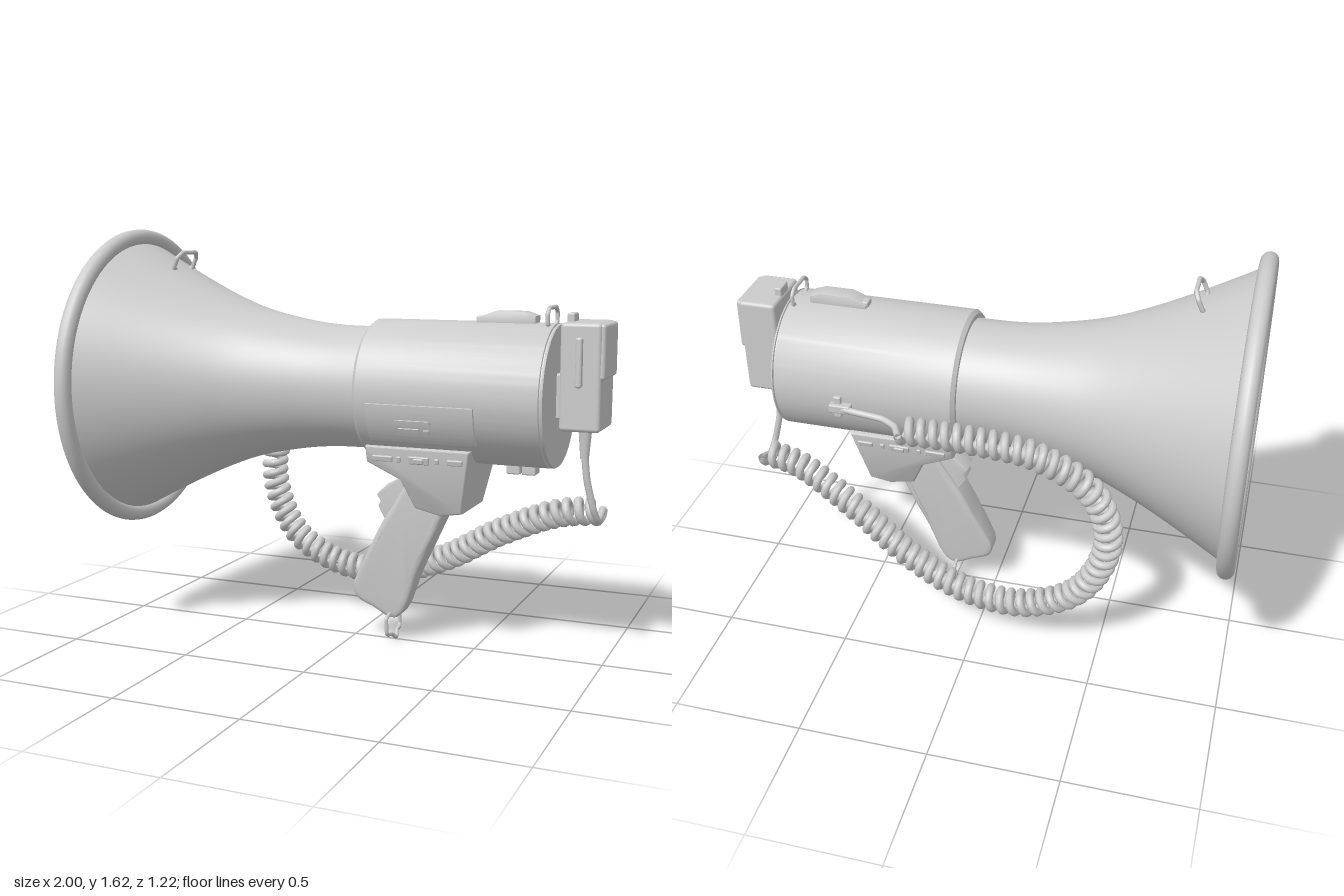
import * as THREE from 'three';
import { toCreasedNormals } from 'three/addons/utils/BufferGeometryUtils.js';
import { RoundedBoxGeometry } from 'three/addons/geometries/RoundedBoxGeometry.js';

const AXIS = 1.007; // height of the horn axis
const material = new THREE.MeshStandardMaterial({ color: 0xcccccc, side: THREE.DoubleSide });
const v3 = (p) => new THREE.Vector3(...p);
const v2 = (p) => new THREE.Vector2(...p);

export function createModel() {
  const model = new THREE.Group();
  model.name = 'megaphone';

  const add = (name, geometry, x = 0, y = 0, z = 0, parent = model) => {
    const mesh = new THREE.Mesh(geometry, material);
    mesh.name = name;
    mesh.position.set(x, y, z);
    parent.add(mesh);
    return mesh;
  };
  // Box given by its limits
  const box = (name, [x0, x1], [y0, y1], [z0, z1], r = 0.006) =>
    add(name, new RoundedBoxGeometry(x1 - x0, y1 - y0, z1 - z0, 2, r),
      (x0 + x1) / 2, (y0 + y1) / 2, (z0 + z1) / 2);
  // Lathe lying on the horn axis, from [x, radius] pairs
  const turned = (name, pts, crease, segments = 96) => {
    let g = new THREE.LatheGeometry(pts.map(([x, r]) => new THREE.Vector2(r, -x)), segments);
    g.rotateZ(Math.PI / 2);
    if (crease) g = toCreasedNormals(g, crease);
    return add(name, g, 0, AXIS, 0);
  };
  // Bent wire through points, with slightly rounded corners
  const wire = (name, pts, r, closed = false) => {
    const curve = new THREE.CatmullRomCurve3(pts.map(v3), closed, 'catmullrom', 0.25);
    return add(name, new THREE.TubeGeometry(curve, pts.length * 10, r, 8, closed));
  };
  // Side profile given a z half-width that depends on height
  const slab = (name, pts, halfWidth, bevel, smooth = false) => {
    let shape = new THREE.Shape(pts.map(v2));
    if (smooth) {
      const curve = new THREE.CatmullRomCurve3(pts.map(([x, y]) => new THREE.Vector3(x, y, 0)), true, 'centripetal');
      shape = new THREE.Shape(curve.getPoints(64).map((p) => new THREE.Vector2(p.x, p.y)));
    }
    const g = new THREE.ExtrudeGeometry(shape, {
      depth: 2 - 2 * bevel * 12, bevelEnabled: true, bevelSize: bevel, bevelOffset: -bevel,
      bevelThickness: bevel * 12, bevelSegments: 4,
    });
    g.translate(0, 0, -(1 - bevel * 12));
    const p = g.attributes.position;
    for (let i = 0; i < p.count; i++) p.setZ(i, p.getZ(i) * halfWidth(p.getY(i)));
    return add(name, toCreasedNormals(g, 0.6));
  };

  // Horn shell: outer flare, then back along the inside to the throat
  const flare = new THREE.SplineCurve([[0.12, 0.237], [-0.05, 0.239], [-0.2, 0.255], [-0.39, 0.295],
    [-0.55, 0.352], [-0.74, 0.44], [-0.96, 0.555]].map(v2)).getPoints(40).map((p) => [p.x, p.y]);
  const inner = flare.map(([x, r]) => [x, r - 0.015]).reverse();
  turned('horn', [...flare, ...inner, [0.12, 0]], 0.7);
  add('hornRim', new THREE.TorusGeometry(0.576, 0.033, 16, 96).rotateY(Math.PI / 2), -0.967, AXIS, 0);

  // Reflector inside the horn
  turned('reflector', [[0.1, 0.08], [-0.3, 0.09], [-0.55, 0.115], [-0.6, 0.135], [-0.76, 0.135],
    [-0.79, 0.12], [-0.8, 0.1], [-0.8, 0]], 0.5, 40);
  for (let i = 0; i < 4; i++) {
    const a = Math.PI / 4 + i * Math.PI / 2;
    add('reflectorBolt', new THREE.CapsuleGeometry(0.014, 0.04, 4, 10).rotateZ(Math.PI / 2),
      -0.79, AXIS + 0.118 * Math.sin(a), 0.118 * Math.cos(a));
  }

  // Amplifier body
  turned('body', [[0.09, 0.2], [0.09, 0.255], [0.105, 0.268], [0.8, 0.268], [0.802, 0.262],
    [0.806, 0.262], [0.808, 0.268], [0.815, 0.264], [0.815, 0]], 0.6);

  // Curved control panel wrapped on the body side
  const wrapped = (name, x0, x1, a0, a1, r) => {
    const s = new THREE.Shape();
    s.absarc(0, 0, r, a0, a1, false);
    s.absarc(0, 0, 0.255, a1, a0, true);
    const g = new THREE.ExtrudeGeometry(s, { depth: x1 - x0, bevelEnabled: false, curveSegments: 12 });
    // Shape x becomes +z, extrusion runs along -x
    g.rotateY(-Math.PI / 2);
    return add(name, toCreasedNormals(g, 0.5), x1, AXIS, 0);
  };
  wrapped('controlPanel', 0.15, 0.565, -0.66, -0.1, 0.28);
  wrapped('panelStrip', 0.265, 0.4, -0.36, -0.3, 0.286);
  wrapped('panelSwitch', 0.275, 0.355, -0.53, -0.42, 0.286);
  wrapped('panelKnob', 0.375, 0.395, -0.5, -0.43, 0.288);

  // Top slider and feet under the body
  slab('topSlider', [[0.5, 1.265], [0.5, 1.285], [0.53, 1.3], [0.57, 1.315], [0.68, 1.315], [0.725, 1.3], [0.725, 1.265]],
    () => 0.035, 0.004);
  box('sliderTip', [0.495, 0.58], [1.27, 1.295], [-0.022, 0.022]);
  for (const x of [0.625, 0.685]) box('foot', [x, x + 0.052], [0.708, 0.76], [-0.035, 0.035]);

  // Wire loops on horn, body and grip
  const strapLoop = (name, x, y, lean, h, w, r) => wire(name, [
    [x, y - 0.03, w - 0.022], [x, y, w - 0.01], [x, y, w], [x + lean * 0.6, y + h * 0.65, w],
    [x + lean, y + h, w - 0.025], [x + lean, y + h, 0], [x + lean, y + h, 0.025 - w],
    [x + lean * 0.6, y + h * 0.65, -w], [x, y, -w], [x, y, 0.01 - w], [x, y - 0.03, 0.022 - w]], r);
  strapLoop('hornLoop', -0.768, 1.46, 0.03, 0.062, 0.075, 0.009);
  strapLoop('bodyLoop', 0.78, 1.275, 0, 0.057, 0.073, 0.008);
  wire('gripLoop', [[0.16, 0.115, 0.02], [0.16, 0.105, 0.06], [0.16, 0.098, 0.072], [0.162, 0.045, 0.072],
    [0.164, 0.032, 0.06], [0.166, 0.028, 0.03], [0.175, 0.008, 0], [0.166, 0.028, -0.03],
    [0.164, 0.032, -0.06], [0.162, 0.045, -0.072], [0.16, 0.098, -0.072], [0.16, 0.105, -0.06], [0.16, 0.115, -0.02]], 0.008);

  // Mount, pistol grip and trigger
  const mountWidth = (y) => 0.14 + (y - 0.56) * 0.26;
  slab('gripMount', [[0.12, 0.81], [0.12, 0.745], [0.25, 0.68], [0.3, 0.57], [0.4, 0.545], [0.485, 0.56],
    [0.535, 0.81]], mountWidth, 0.008);
  slab('grip', [[0.25, 0.74], [0.235, 0.66], [0.18, 0.56], [0.13, 0.48], [0.075, 0.37], [0.03, 0.28], [0.005, 0.21],
    [0.02, 0.165], [0.09, 0.13], [0.15, 0.098], [0.185, 0.098], [0.22, 0.135], [0.275, 0.285], [0.335, 0.42],
    [0.4, 0.57], [0.44, 0.74]], (y) => Math.min(0.062, 0.036 + (y - 0.1) * 0.09), 0.022, true);
  slab('trigger', [[0.25, 0.69], [0.15, 0.635], [0.105, 0.592], [0.122, 0.565], [0.112, 0.545], [0.14, 0.495],
    [0.24, 0.5]], () => 0.042, 0.006);

  // Latches and switches on both flanks of the mount
  for (const side of [1, -1]) {
    for (const [x, w, h] of [[0.19, 0.08, 0.022], [0.255, 0.016, 0.022], [0.335, 0.08, 0.03], [0.335, 0.04, 0.02],
      [0.405, 0.016, 0.022], [0.475, 0.06, 0.022]]) {
      const depth = w === 0.04 ? 0.03 : 0.016;
      add('mountSwitch', new RoundedBoxGeometry(w, h, depth, 2, 0.004), x, 0.765, side * mountWidth(0.765))
        .rotation.x = side * 0.25;
    }
  }

  // Hand microphone on its bracket
  box('microphoneBracket', [0.8, 0.85], [0.93, 1.095], [-0.06, 0.06]);
  const mic = box('microphone', [0.838, 0.987], [0.893, 1.285], [-0.122, 0.122], 0.014);
  const mp = mic.geometry.attributes.position;
  for (let i = 0; i < mp.count; i++) mp.setZ(i, mp.getZ(i) * (0.96 + 0.2 * mp.getY(i)));
  box('microphoneGrille', [0.9, 1], [1.082, 1.282], [-0.112, 0.112], 0.012);
  box('talkButton', [0.898, 0.922], [1.055, 1.235], [0.1, 0.14], 0.008);
  box('microphoneHook', [0.842, 0.87], [1.27, 1.315], [-0.035, 0.035]);
  add('strainRelief', new THREE.CylinderGeometry(0.026, 0.016, 0.12, 16), 0.912, 0.84, 0);

  // Coiled cord: a helix wound round a swept path
  const path = new THREE.CatmullRomCurve3([[0.955, 0.57, -0.09], [0.8, 0.545, -0.11], [0.55, 0.435, -0.18],
    [0.3, 0.29, -0.25], [0.05, 0.2, -0.3], [-0.2, 0.2, -0.325], [-0.42, 0.32, -0.33], [-0.525, 0.58, -0.34],
    [-0.46, 0.8, -0.345], [-0.25, 0.93, -0.345], [0, 0.96, -0.345], [0.27, 0.965, -0.35]].map(v3));
  const turns = 62, steps = turns * 16;
  const frames = path.computeFrenetFrames(steps);
  const coil = [];
  for (let i = 0; i <= steps; i++) {
    const a = i / 16 * Math.PI * 2;
    coil.push(path.getPointAt(i / steps)
      .addScaledVector(frames.normals[i], 0.041 * Math.cos(a))
      .addScaledVector(frames.binormals[i], 0.041 * Math.sin(a)));
  }
  const coilCurve = new THREE.CatmullRomCurve3(coil);
  coilCurve.arcLengthDivisions = 4000;
  add('coiledCord', new THREE.TubeGeometry(coilCurve, turns * 20, 0.0165, 8));

  // Straight cord ends and the plug on the body
  wire('microphoneCord', [[0.912, 0.8, 0], [0.922, 0.7, -0.005], [0.945, 0.59, -0.02], [0.958, 0.54, -0.05],
    coil[0].toArray()], 0.0135);
  wire('bodyCord', [coil[steps].toArray(), [0.3, 0.965, -0.335], [0.36, 0.97, -0.305], [0.47, 0.975, -0.295],
    [0.53, 0.975, -0.285]], 0.0135);
  box('plug', [0.49, 0.575], [0.958, 0.992], [-0.298, -0.255]);
  box('plugSocket', [0.53, 0.56], [0.93, 1.02], [-0.282, -0.25]);

  return model;
}
